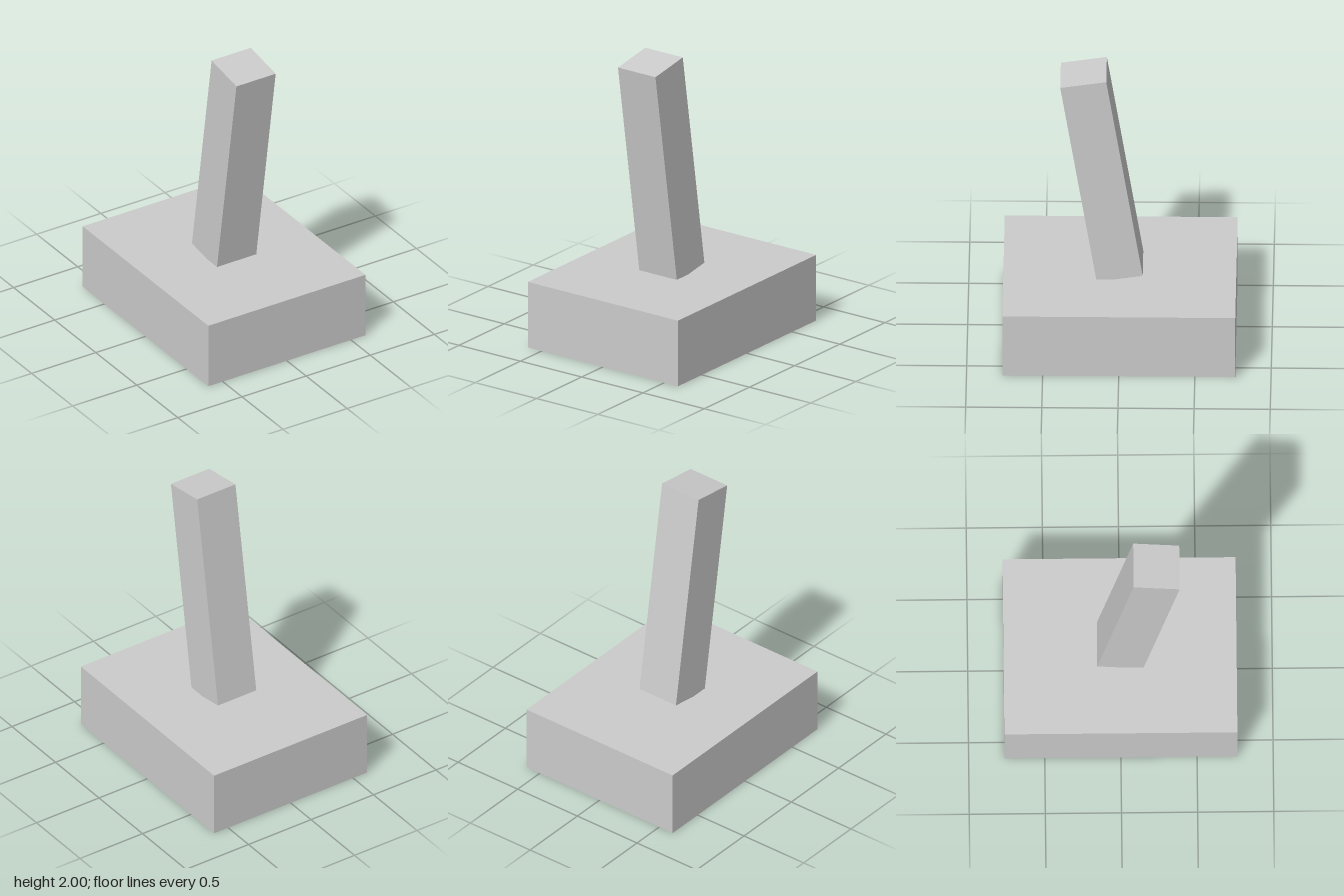
import * as THREE from 'three';

export function createModel() {
  const model = new THREE.Group();
  const material = new THREE.MeshStandardMaterial({ color: 0xcccccc, flatShading: true });

  // Heavy rectangular base block
  const base = new THREE.Mesh(new THREE.BoxGeometry(1.224, 0.46, 1.53), material);
  base.name = 'base';
  base.position.y = 0.23;
  model.add(base);

  // Square lever, pivoting about the middle of its lower end and leaning forward
  const length = 1.53;
  const leverGeometry = new THREE.BoxGeometry(0.306, length, 0.306).translate(0, length / 2, 0);
  const lever = new THREE.Mesh(leverGeometry, material);
  lever.name = 'lever';
  lever.position.y = 0.465;
  lever.rotation.x = THREE.MathUtils.degToRad(9);
  model.add(lever);

  return model;
}
